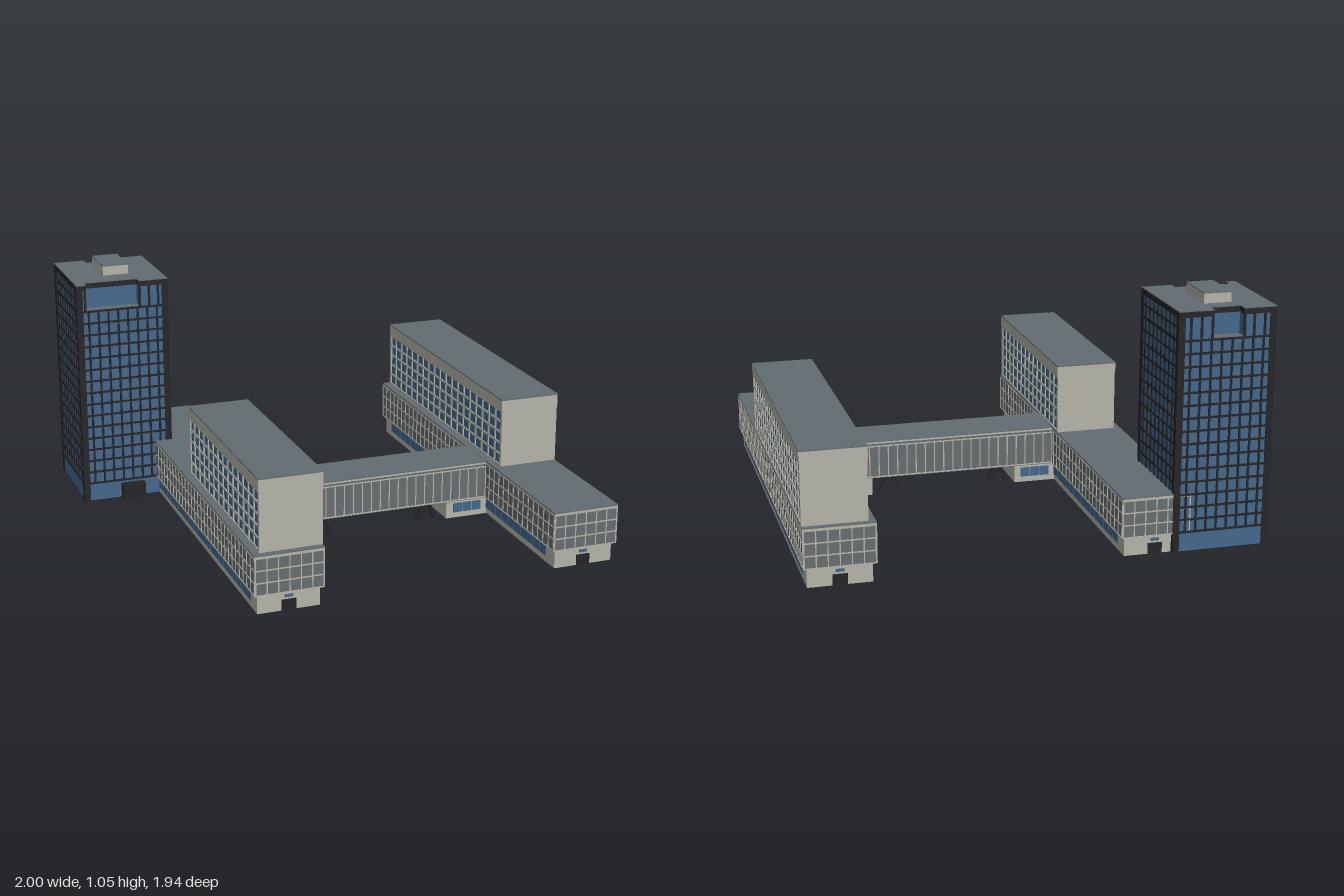
import * as THREE from 'three';
import { mergeGeometries } from 'three/addons/utils/BufferGeometryUtils.js';

const material = (name, color) => {
  const m = new THREE.MeshStandardMaterial({ color });
  m.name = name;
  return m;
};

export function createModel() {
  const concrete = material('pale concrete', 0xb3b3a8);
  const roofGrey = material('roof grey', 0x626c71);
  const panel = material('grey cladding', 0x666c70);
  const glass = material('blue glass', 0x43678a);
  const dark = material('dark frame', 0x242428);

  const model = new THREE.Group();
  model.name = 'buildingComplex';
  const site = new THREE.Group();
  site.name = 'site';
  site.rotation.y = 0.05; // the whole complex is turned slightly
  model.add(site);

  const group = (name) => {
    const g = new THREE.Group();
    g.name = name;
    site.add(g);
    return g;
  };
  // Box given by its limits on each axis
  const block = (parent, name, mat, [x0, x1], [y0, y1], [z0, z1]) => {
    const mesh = new THREE.Mesh(new THREE.BoxGeometry(x1 - x0, y1 - y0, z1 - z0), mat);
    mesh.position.set((x0 + x1) / 2, (y0 + y1) / 2, (z0 + z1) / 2);
    mesh.name = name;
    parent.add(mesh);
    return mesh;
  };
  const grow = ([a, b], d) => [a - d, b + d];

  // Flat rectangle in a facade plane, centred on (x, y)
  const bar = (w, h, x, y, d) => new THREE.BoxGeometry(w, h, d).translate(x, y, 0);
  // Grid of bars: cols and rows are counts of bays
  const gridBars = (w, h, cols, rows, t, d) => {
    const bars = [];
    for (let i = 0; i <= cols; i++) bars.push(bar(t, h, (i / cols - 0.5) * (w - t), 0, d));
    for (let j = 0; j <= rows; j++) bars.push(bar(w, t, 0, (j / rows - 0.5) * (h - t), d * 0.9));
    return mergeGeometries(bars);
  };
  // Row of separate panes
  const panes = (w, h, n, gap, d) => {
    const list = [];
    for (let i = 0; i < n; i++) list.push(bar(w / n - gap, h, ((i + 0.5) / n - 0.5) * w, 0, d));
    return mergeGeometries(list);
  };
  // Put a facade geometry on one side of a plan rectangle
  const onSide = (parent, name, mat, geo, side, xs, zs, y) => {
    const mesh = new THREE.Mesh(geo, mat);
    const cx = (xs[0] + xs[1]) / 2, cz = (zs[0] + zs[1]) / 2;
    mesh.name = name;
    if (side === 'front') mesh.position.set(cx, y, zs[1]);
    if (side === 'back') mesh.position.set(cx, y, zs[0]);
    if (side === 'left') mesh.position.set(xs[1], y, cz);
    if (side === 'right') mesh.position.set(xs[0], y, cz);
    mesh.rotation.y = { front: 0, back: Math.PI, left: Math.PI / 2, right: -Math.PI / 2 }[side];
    parent.add(mesh);
  };
  const length = (side, xs, zs) =>
    side === 'front' || side === 'back' ? xs[1] - xs[0] : zs[1] - zs[0];
  const ends = ['front', 'back'], flanks = ['left', 'right'], all = [...ends, ...flanks];

  // Long wing: recessed ground floor, clad podium and a glazed slab above it
  const wing = (name, xs, zs, slabX, slabZ) => {
    const g = group(name);
    const gx = grow(xs, -0.013), gz = grow(zs, -0.014);
    block(g, 'groundFloor', concrete, gx, [0, 0.08], gz);
    for (const s of flanks)
      onSide(g, 'groundWindows', glass, panes(1.68, 0.042, 28, 0.004, 0.006), s, gx, gz, 0.048);
    for (const s of ends) {
      onSide(g, 'door', dark, bar(0.06, 0.046, 0, 0, 0.006), s, gx, gz, 0.023);
      onSide(g, 'doorTransom', glass, bar(0.036, 0.012, 0, 0, 0.006), s, gx, gz, 0.061);
    }
    block(g, 'podium', panel, xs, [0.08, 0.24], zs);
    for (const s of all) {
      const w = length(s, xs, zs);
      const cols = Math.round(w / 0.047);
      onSide(g, 'podiumMullions', concrete, gridBars(w, 0.16, cols, 3, 0.005, 0.006), s, xs, zs, 0.16);
    }
    block(g, 'podiumCoping', concrete, grow(xs, 0.002), [0.236, 0.246], grow(zs, 0.002));
    block(g, 'podiumRoof', roofGrey, grow(xs, 0.002), [0.246, 0.251], grow(zs, 0.002));

    block(g, 'slabGlazing', glass, grow(slabX, -0.006), [0.25, 0.505], grow(slabZ, -0.01));
    for (const s of flanks) {
      const w = length(s, slabX, slabZ);
      const x = grow(slabX, -0.005);
      onSide(g, 'slabMullions', concrete,
        gridBars(w, 0.255, Math.round(w / 0.068), 5, 0.009, 0.008), s, x, slabZ, 0.3775);
    }
    block(g, 'slabEndWall', concrete, slabX, [0.25, 0.505], [slabZ[1] - 0.015, slabZ[1]]);
    block(g, 'slabEndWall', concrete, slabX, [0.25, 0.505], [slabZ[0], slabZ[0] + 0.015]);
    block(g, 'slabParapet', concrete, grow(slabX, 0.002), [0.503, 0.55], slabZ);
    block(g, 'slabRoof', roofGrey, grow(slabX, 0.002), [0.55, 0.555], slabZ);
  };
  wing('rightWing', [-0.622, -0.336], [-0.918, 0.93], [-0.595, -0.333], [-0.03, 0.907]);
  wing('leftWing', [0.663, 0.949], [-0.923, 0.929], [0.69, 0.952], [-0.906, 0.36]);

  // Bridge between the wings
  const bridge = group('bridge');
  const bx = [-0.34, 0.667], bz = [0.055, 0.272];
  block(bridge, 'bridgeHall', panel, bx, [0.08, 0.24], bz);
  block(bridge, 'bridgeCoping', concrete, bx, [0.238, 0.246], grow(bz, 0.002));
  block(bridge, 'bridgeRoof', roofGrey, bx, [0.246, 0.25], grow(bz, 0.002));
  for (const s of ends) {
    onSide(bridge, 'bridgeMullions', concrete, gridBars(1.0, 0.145, 24, 1, 0.005, 0.006), s, bx, bz, 0.156);
  }
  // Lobbies beneath both ends of the bridge
  for (const [x0, x1] of [[-0.35, -0.165], [0.482, 0.68]]) {
    const lx = [x0, x1], lz = grow(bz, -0.012);
    block(bridge, 'lobby', concrete, lx, [0, 0.08], lz);
    for (const s of ends)
      onSide(bridge, 'lobbyWindows', glass, panes(0.135, 0.042, 3, 0.004, 0.006), s, lx, lz, 0.046);
  }
  // Splayed legs in pairs with a cross beam
  for (const x of [-0.093, 0.397]) {
    block(bridge, 'legBeam', dark, [x - 0.024, x + 0.024], [0.07, 0.081], [0.085, 0.243]);
    for (const z of [0.1, 0.228])
      for (const side of [-1, 1]) {
        const leg = new THREE.Mesh(new THREE.BoxGeometry(0.015, 0.081, 0.016), dark);
        leg.name = 'bridgeLeg';
        leg.position.set(x + side * 0.027, 0.039, z);
        leg.rotation.z = side * 0.4;
        bridge.add(leg);
      }
  }

  // Tower
  const tower = group('tower');
  const tx = [-0.955, -0.552], tz = [-0.919, -0.486];
  const crownBase = 0.885;
  block(tower, 'towerGlazing', glass, tx, [0.003, crownBase], tz);
  block(tower, 'towerBase', dark, tx, [0, 0.004], tz);
  // Crown with a loggia cut into its front and a smaller one at the back
  const outline = (inset) => {
    const [x0, x1] = grow(tx, -inset), [z0, z1] = grow(tz, -inset);
    return new THREE.Shape([
      [x0, z0], [-0.82, z0], [-0.82, -0.877], [-0.695, -0.877], [-0.695, z0], [x1, z0],
      [x1, z1], [-0.68, z1], [-0.68, -0.523], [-0.915, -0.523], [-0.915, z1], [x0, z1],
    ].map(([x, z]) => new THREE.Vector2(x, -z)));
  };
  const storey = (name, mat, y0, y1, inset) => {
    const geo = new THREE.ExtrudeGeometry(outline(inset), { depth: y1 - y0, bevelEnabled: false });
    const mesh = new THREE.Mesh(geo.rotateX(-Math.PI / 2).translate(0, y0, 0), mat);
    mesh.name = name;
    tower.add(mesh);
  };
  storey('crownGlazing', glass, crownBase, 0.98, 0);
  storey('crownEdge', dark, 0.975, 0.998, -0.004);
  storey('towerRoof', roofGrey, 0.998, 1.002, -0.003);
  block(tower, 'loggiaFloor', roofGrey, [-0.915, -0.68], [crownBase, 0.888], [-0.525, -0.487]);
  block(tower, 'loggiaFloor', roofGrey, [-0.82, -0.695], [crownBase, 0.888], [-0.918, -0.876]);
  for (const s of all) {
    const w = length(s, tx, tz);
    onSide(tower, 'towerFrame', dark, gridBars(w, 0.805, 9, 15, 0.009, 0.008), s, tx, tz, 0.4825);
  }
  // Crown posts, leaving the loggias open
  const frontPosts = [-0.921, -0.676, -0.634, -0.593], backPosts = [-0.91, -0.865, -0.825, -0.69, -0.645, -0.6];
  for (const x of frontPosts) block(tower, 'crownPost', dark, [x - 0.005, x + 0.005], [crownBase, 0.98], [-0.49, -0.482]);
  for (const x of backPosts) block(tower, 'crownPost', dark, [x - 0.005, x + 0.005], [crownBase, 0.98], [-0.923, -0.915]);
  for (const s of flanks)
    onSide(tower, 'crownFrame', dark, gridBars(tz[1] - tz[0], 0.11, 9, 2, 0.009, 0.008), s, tx, tz, 0.935);
  // Solid corner piers
  for (const x of tx)
    for (const z of tz)
      block(tower, 'cornerPier', dark,
        x === tx[0] ? [x - 0.004, x + 0.024] : [x - 0.024, x + 0.004], [0, 0.99],
        z === tz[0] ? [z - 0.004, z + 0.024] : [z - 0.024, z + 0.004]);
  block(tower, 'entrancePorch', dark, [-0.788, -0.683], [0, 0.07], [-0.487, -0.452]);
  // Plant room
  block(tower, 'plantRoom', concrete, [-0.805, -0.69], [1, 1.042], [-0.82, -0.62]);
  block(tower, 'plantRoomRoof', roofGrey, [-0.805, -0.69], [1.042, 1.046], [-0.82, -0.62]);

  return model;
}
